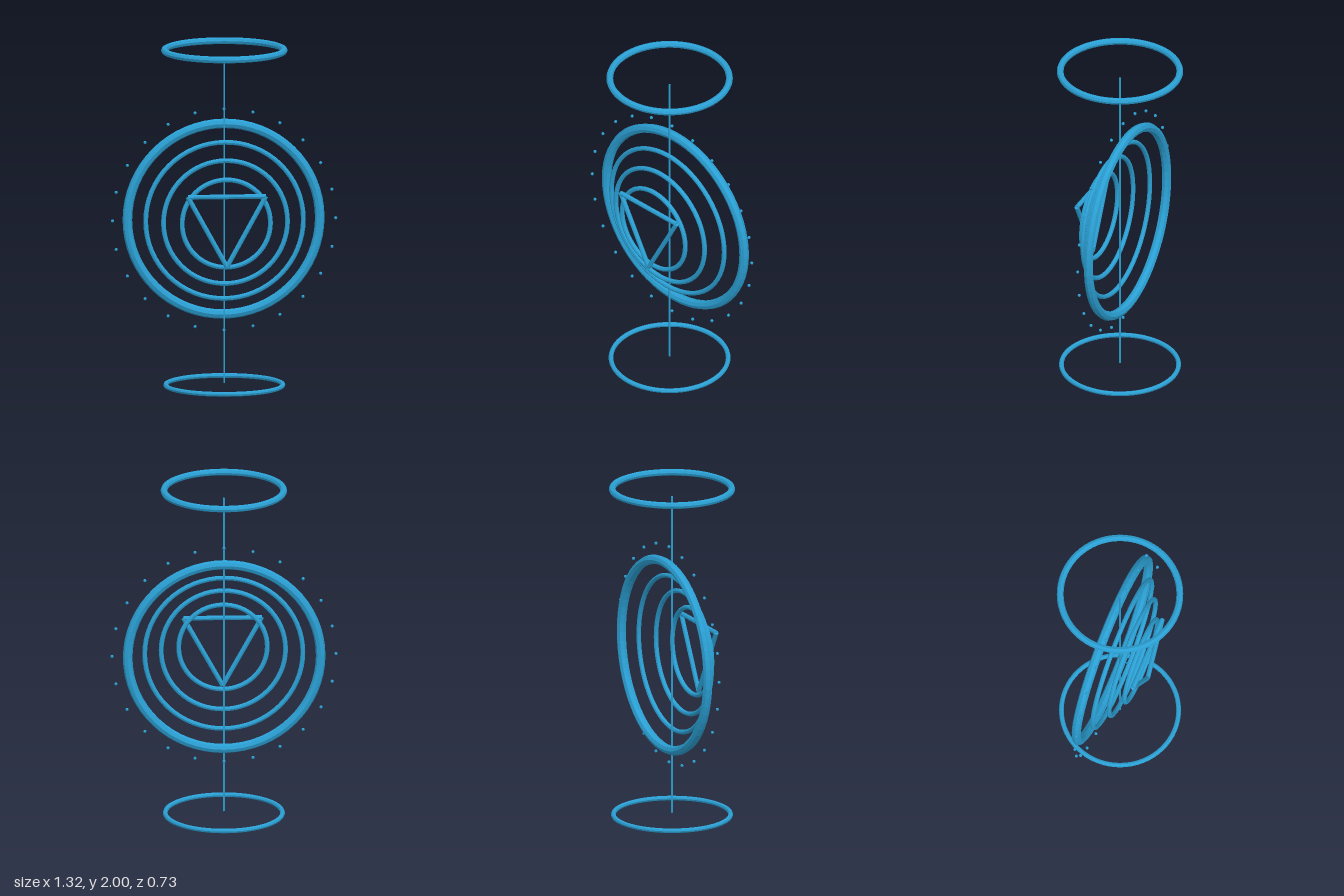
import * as THREE from 'three';

export function createModel() {
  const model = new THREE.Group();
  const blue = new THREE.MeshStandardMaterial({ color: 0x2a9fd3 });
  blue.name = 'blue';
  blue.flatShading = true;
  const CENTER_Y = 0.983;

  const add = (name, geometry, x, y, z, parent = model) => {
    const mesh = new THREE.Mesh(geometry, blue);
    mesh.name = name;
    mesh.position.set(x, y, z);
    parent.add(mesh);
    return mesh;
  };

  // Round bar between two points
  const bar = (name, a, b, radius, parent) => {
    const dir = b.clone().sub(a);
    const mid = a.clone().add(b).multiplyScalar(0.5);
    const mesh = add(name, new THREE.CylinderGeometry(radius, radius, dir.length(), 8), mid.x, mid.y, mid.z, parent);
    mesh.quaternion.setFromUnitVectors(new THREE.Vector3(0, 1, 0), dir.normalize());
  };

  // Upright rings, stepping forward as they shrink: name, radius, tube, z
  for (const [name, radius, tube, z] of [
    ['outerRing', 0.56, 0.028, -0.048],
    ['largeRing', 0.459, 0.014, 0.014],
    ['middleRing', 0.361, 0.014, 0.077],
    ['smallRing', 0.257, 0.014, 0.131],
  ]) add(name, new THREE.TorusGeometry(radius, tube, 8, 64), 0, CENTER_Y, z);

  // Flat rings above and below
  for (const [name, radius, tube, y] of [
    ['topRing', 0.347, 0.02, 1.98],
    ['baseRing', 0.34, 0.014, 0.014],
  ]) add(name, new THREE.TorusGeometry(radius, tube, 8, 64).rotateX(Math.PI / 2), 0, y, 0);

  // Downward-pointing triangle at the front
  const triangle = new THREE.Group();
  triangle.name = 'triangle';
  model.add(triangle);
  const corners = [[-0.227, 1.147], [0.227, 1.147], [0, 0.735]].map(([x, y]) => new THREE.Vector3(x, y, 0.173));
  corners.forEach((c, i) => bar('triangleBar', c, corners[(i + 1) % 3], 0.014, triangle));

  // Thin vertical rod
  bar('centerRod', new THREE.Vector3(0, 0.025, 0), new THREE.Vector3(0, 1.935, 0), 0.0055, model);

  // Circle of small beads around the outer ring
  const beads = new THREE.Group();
  beads.name = 'beads';
  model.add(beads);
  const beadGeometry = new THREE.SphereGeometry(0.0095, 8, 6);
  for (let i = 0; i < 24; i++) {
    const a = (i / 24) * Math.PI * 2;
    add('bead', beadGeometry, Math.cos(a) * 0.65, CENTER_Y + Math.sin(a) * 0.65, -0.02, beads);
  }

  return model;
}
